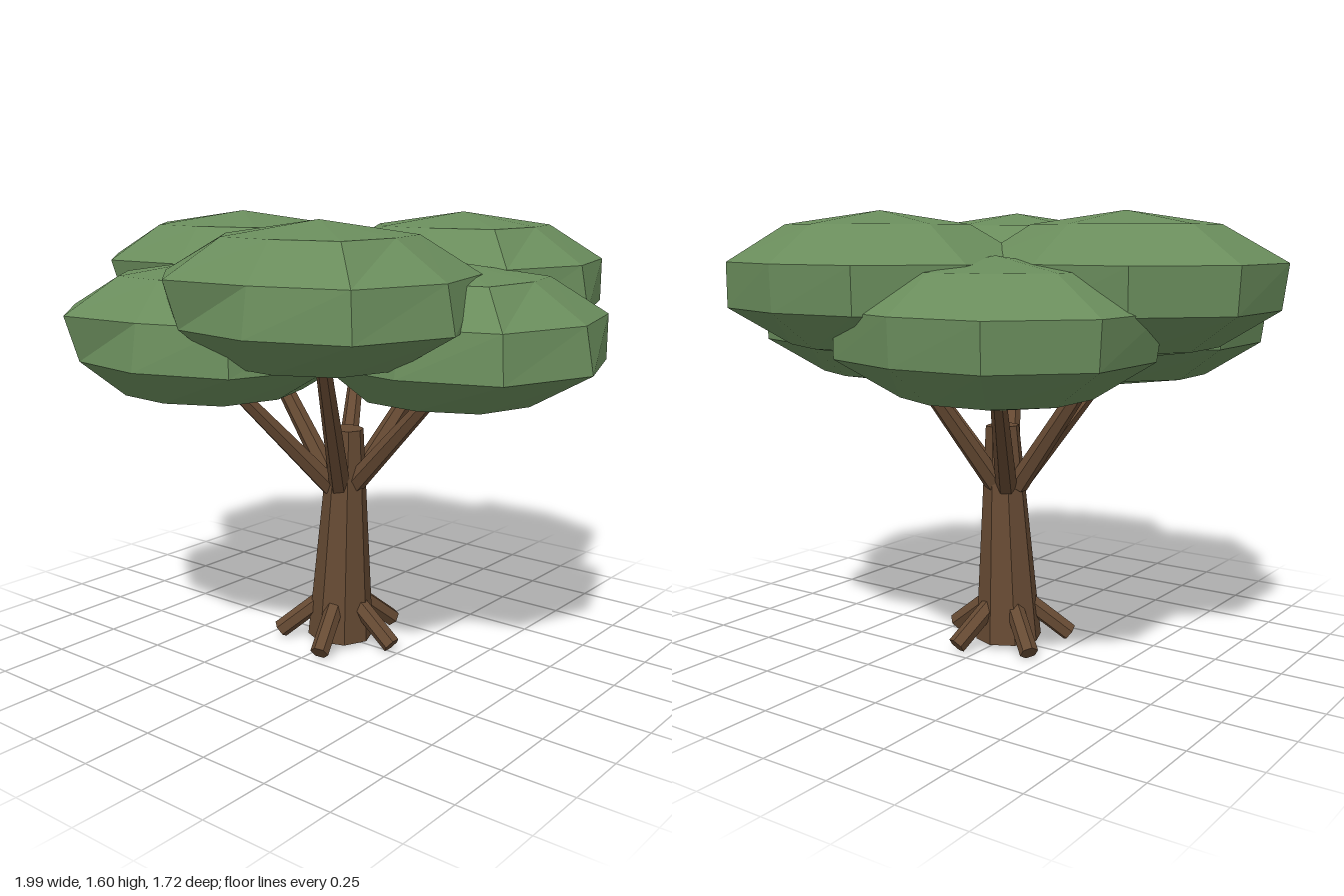
import * as THREE from 'three';

const bark = new THREE.MeshStandardMaterial({ color: 0x664a33, flatShading: true });
bark.name = 'bark brown';
const leaf = new THREE.MeshStandardMaterial({ color: 0x6a8d5c, flatShading: true });
leaf.name = 'leaf green';

const CX = -0.01; // trunk axis
const rad = (deg) => (deg * Math.PI) / 180;
const around = (deg, r, y) => new THREE.Vector3(CX + r * Math.cos(rad(deg)), y, r * Math.sin(rad(deg)));

// Tapered cylinder running from a to b
function limb(name, a, b, r0, r1, sides) {
  const dir = b.clone().sub(a);
  const mesh = new THREE.Mesh(new THREE.CylinderGeometry(r1, r0, dir.length(), sides), bark);
  mesh.name = name;
  mesh.position.copy(a).add(b).multiplyScalar(0.5);
  mesh.quaternion.setFromUnitVectors(new THREE.Vector3(0, 1, 0), dir.normalize());
  return mesh;
}

// Uneven flattened ball: four rings of nine points between two poles
function clumpGeometry() {
  const H = 0.25;
  const rings = [
    [0.809, [0.30, 0.36, 0.295, 0.32, 0.32, 0.32, 0.31, 0.29, 0.32]],
    [0.309, [0.49, 0.50, 0.42, 0.505, 0.54, 0.53, 0.50, 0.455, 0.52]],
    [-0.309, [0.52, 0.52, 0.45, 0.46, 0.52, 0.52, 0.49, 0.45, 0.52]],
    [-0.809, [0.30, 0.31, 0.29, 0.31, 0.32, 0.32, 0.31, 0.29, 0.31]],
  ];
  const pos = [0, H, 0];
  for (const [y, radii] of rings) {
    radii.forEach((r, i) => pos.push(r * Math.cos(rad(i * 40)), y * H, r * Math.sin(rad(i * 40))));
  }
  pos.push(0, -H, 0);
  const at = (ring, i) => 1 + ring * 9 + (i % 9);
  const index = [];
  for (let i = 0; i < 9; i++) {
    index.push(0, at(0, i + 1), at(0, i));
    for (let k = 0; k < 3; k++) {
      index.push(at(k, i), at(k, i + 1), at(k + 1, i + 1));
      index.push(at(k, i), at(k + 1, i + 1), at(k + 1, i));
    }
    index.push(37, at(3, i), at(3, i + 1));
  }
  const geo = new THREE.BufferGeometry();
  geo.setAttribute('position', new THREE.Float32BufferAttribute(pos, 3));
  geo.setIndex(index);
  const flat = geo.toNonIndexed();
  flat.computeVertexNormals();
  return flat;
}

export function createModel() {
  const tree = new THREE.Group();
  tree.name = 'tree';

  // Slightly leaning trunk
  tree.add(limb('trunk', new THREE.Vector3(-0.017, 0.022, 0), new THREE.Vector3(0.012, 0.828, 0), 0.124, 0.062, 8));

  // Five splayed roots
  for (let i = 0; i < 5; i++) {
    tree.add(limb('root', around(i * 72, 0.235, 0.033), around(i * 72, 0.05, 0.18), 0.034, 0.034, 6));
  }

  // Six branches and leaf clumps, alternating low and high
  const clump = clumpGeometry();
  for (let i = 0; i < 6; i++) {
    const high = i % 2 === 1;
    const deg = i * 60;
    tree.add(limb('branch', around(deg, 0.045, 0.61), around(deg, 0.455, high ? 1.19 : 1.05), 0.04, 0.025, 6));
    const leaves = new THREE.Mesh(clump, leaf);
    leaves.name = high ? 'upperLeafClump' : 'lowerLeafClump';
    leaves.position.copy(around(deg, 0.48, high ? 1.352 : 1.205));
    tree.add(leaves);
  }
  return tree;
}
